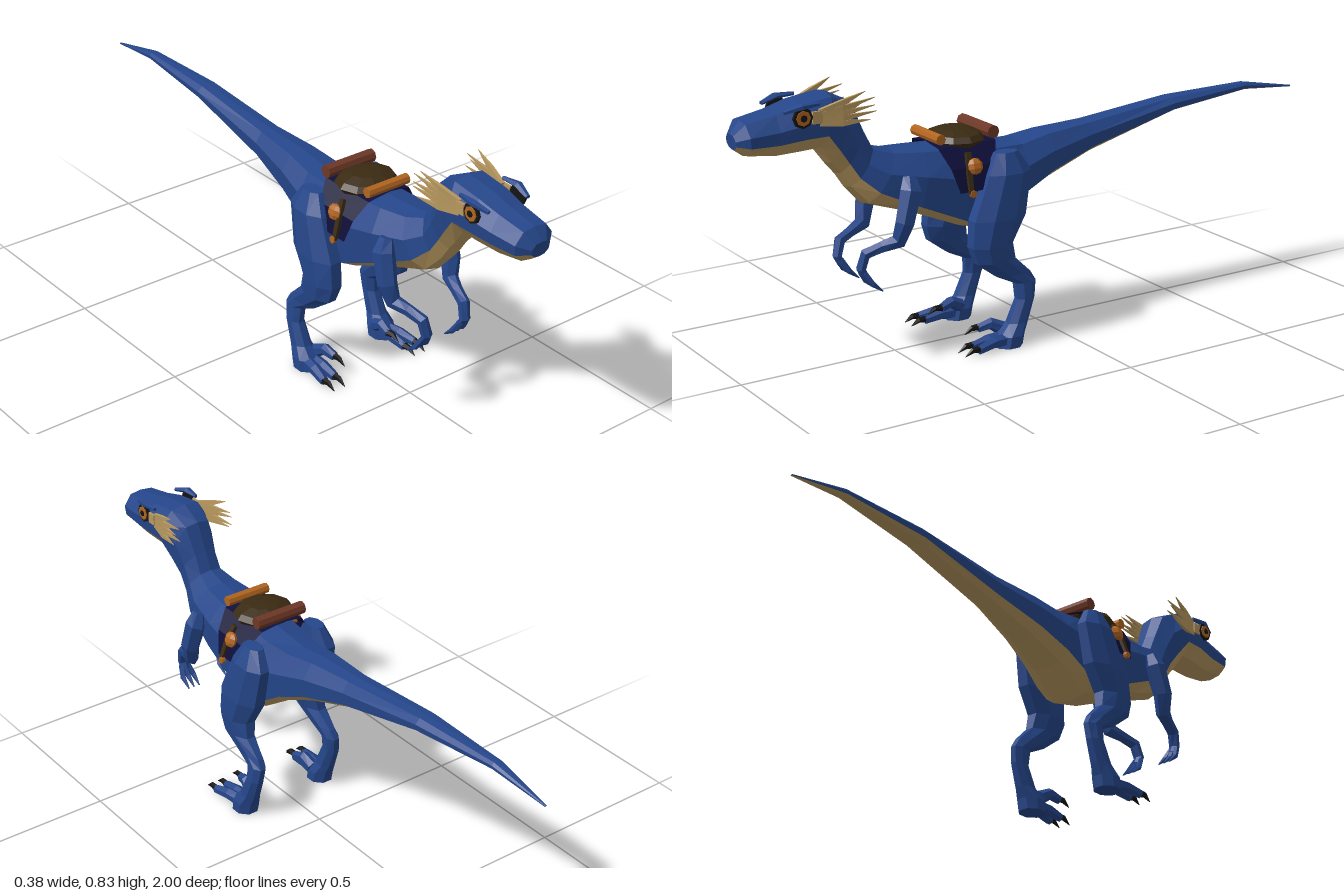
import * as THREE from 'three';

const V = (x, y, z) => new THREE.Vector3(x, y, z);

// Skin between rings of points; rings run clockwise seen from the first ring.
function loft(rings, closed = true, caps = closed) {
  const pos = [];
  const tri = (...p) => p.forEach(q => pos.push(q.x, q.y, q.z));
  const n = rings[0].length, m = closed ? n : n - 1;
  for (let i = 0; i < rings.length - 1; i++) {
    for (let j = 0; j < m; j++) {
      const k = (j + 1) % n, A = rings[i], B = rings[i + 1];
      tri(A[j], A[k], B[j]);
      tri(A[k], B[k], B[j]);
    }
  }
  if (caps) {
    [rings[0], rings[rings.length - 1]].forEach((r, e) => {
      const c = r.reduce((s, p) => s.add(p), V(0, 0, 0)).divideScalar(n);
      for (let j = 0; j < n; j++) {
        const k = (j + 1) % n;
        if (e) tri(r[j], r[k], c); else tri(r[k], r[j], c);
      }
    });
  }
  const g = new THREE.BufferGeometry();
  g.setAttribute('position', new THREE.Float32BufferAttribute(pos, 3));
  g.computeVertexNormals();
  return g;
}

// Limb from stations [x, y, z, radius across, radius along]; dir fixes the ring plane.
function limb(path, sides = 6, dir = null) {
  const P = path.map(p => V(p[0], p[1], p[2]));
  return loft(path.map((p, i) => {
    const d = dir ? dir.clone() : P[Math.min(i + 1, P.length - 1)].clone().sub(P[Math.max(i - 1, 0)]).normalize();
    const u = V(1, 0, 0).addScaledVector(d, -d.x).normalize();
    const v = d.clone().cross(u);
    return Array.from({ length: sides }, (_, j) => {
      const a = (j + 0.5) / sides * Math.PI * 2;
      return P[i].clone().addScaledVector(u, Math.cos(a) * p[3]).addScaledVector(v, Math.sin(a) * p[4]);
    });
  }));
}

// Mirrored copy across x with corner order restored.
function mirror(geo) {
  const g = geo.index ? geo.toNonIndexed() : geo.clone();
  g.scale(-1, 1, 1);
  const p = g.attributes.position, a = V(0, 0, 0), b = V(0, 0, 0);
  for (let i = 0; i < p.count; i += 3) {
    a.fromBufferAttribute(p, i + 1);
    b.fromBufferAttribute(p, i + 2);
    p.setXYZ(i + 1, b.x, b.y, b.z);
    p.setXYZ(i + 2, a.x, a.y, a.z);
  }
  g.computeVertexNormals();
  return g;
}

export function createModel() {
  const root = new THREE.Group();
  root.name = 'saddledRaptor';
  const mat = (name, color, extra = {}) => {
    const m = new THREE.MeshStandardMaterial({ color, flatShading: true, ...extra });
    m.name = name;
    return m;
  };
  const blue = mat('blueHide', 0x25468a);
  const tan = mat('tanBelly', 0xb8985f);
  const black = mat('blackClaw', 0x141414);
  const navy = mat('navyCloth', 0x0e0e3a, { side: THREE.DoubleSide });
  const seatBrown = mat('darkLeather', 0x3a2a12);
  const orange = mat('orangeLeather', 0xb2651f);
  const red = mat('redBrownRoll', 0x6e3826);
  const add = (name, geo, m) => {
    const mesh = new THREE.Mesh(geo, m);
    mesh.name = name;
    root.add(mesh);
  };
  const pair = (name, geo, m) => {
    add('left' + name, geo, m);
    add('right' + name, mirror(geo), m);
  };

  // Body stations, snout to tail: top z, y, bottom z, y, half width, belly line
  const body = [
    [1.0, .735, .995, .69, .032, .7], [.972, .77, .965, .668, .067, .68], [.88, .787, .885, .655, .074, .66],
    [.81, .806, .80, .657, .084, .66], [.71, .82, .75, .66, .084, .7], [.64, .785, .715, .61, .07, .74],
    [.602, .70, .685, .575, .06, .72], [.573, .642, .655, .53, .062, .7], [.51, .625, .605, .475, .085, .72],
    [.42, .62, .46, .428, .105, .84], [.30, .615, .31, .365, .113, .88], [.17, .60, .20, .335, .108, .86],
    [.08, .592, .09, .41, .092, .82], [-.02, .605, -.02, .46, .075, .8], [-.18, .612, -.18, .515, .052, .8],
    [-.5, .643, -.5, .597, .04, .8], [-.8, .648, -.8, .624, .019, .8], [-1, .611, -1, .606, .003, .8],
  ];
  const rings = body.map(([tz, ty, bz, by, w, b]) => {
    const at = (x, t) => V(x * w, ty + (by - ty) * t, tz + (bz - tz) * t);
    const side = s => [at(.6 * s, .05), at(s, .38), at(.95 * s, b), at(.55 * s, b + (1 - b) * .78)];
    return [at(0, 0), ...side(1), at(0, 1), ...side(-1).reverse()];
  });
  const pick = ids => rings.map(r => ids.map(i => r[i]));
  add('backAndHead', loft(pick([7, 8, 9, 0, 1, 2, 3]), false), blue);
  add('bellyAndJaw', loft(pick([3, 4, 5, 6, 7]), false), tan);
  add('snoutTip', loft([rings[0], rings[0].map(p => V(p.x * .1, .712, .997))].reverse().map(r => r.slice())), blue);

  // Legs: thigh, shin, hock and foot in one skin
  pair('Leg', limb([
    [.115, .59, .18, .025, .04], [.125, .53, .18, .042, .078], [.13, .40, .22, .05, .095],
    [.133, .32, .247, .046, .074], [.138, .27, .235, .036, .07], [.14, .22, .175, .026, .062],
    [.143, .19, .135, .024, .038], [.148, .14, .137, .025, .032], [.148, .07, .165, .03, .036],
    [.147, .035, .188, .042, .045], [.147, 0, .195, .042, .045],
  ], 8, V(0, -1, 0)), blue);
  // Toes: two on the ground and a raised inner one, each with a claw
  [[.155, .022, .20, .177, .016, .315, 0], [.135, .022, .20, .137, .016, .315, 0], [.12, .045, .20, .106, .055, .275, .01]]
    .forEach(([x0, y0, z0, x1, y1, z1, lift], i) => {
      const mid = [(x0 + x1) / 2, (y0 + y1) / 2 + .006 + lift, (z0 + z1) / 2, .019, .018];
      pair('Toe' + i, limb([[x0, y0, z0, .022, .022], mid, [x1, y1, z1, .014, .014]], 6), blue);
      pair('Claw' + i, limb([[x1, y1 + .002, z1 - .012, .012, .013], [x1, y1 + .004, z1 + .022, .008, .009],
        [x1, y1 - .011, z1 + .048, .001, .001]], 5), black);
    });

  // Arms and hands
  pair('Arm', limb([
    [.10, .56, .495, .02, .022], [.112, .52, .498, .032, .036], [.12, .43, .525, .028, .032],
    [.108, .375, .54, .022, .026], [.092, .362, .585, .018, .018], [.078, .345, .632, .018, .018],
    [.072, .30, .645, .018, .014], [.072, .275, .632, .018, .012],
  ], 6), blue);
  [.052, .072, .092].forEach((x, i) => pair('Finger' + i, limb([
    [.072 + (x - .072) * .5, .29, .64, .01, .01], [x, .255, .618, .009, .009], [x, .228, .585, .002, .002],
  ], 5), blue));

  // Crest of swept-back quills behind each eye
  [[.745, .62], [.765, .595], [.785, .605], [.805, .60], [.828, .635], [.79, .65]].forEach(([y, z], i) => {
    pair('Quill' + i, limb([
      [.078, .762 + (y - .78) * .4, .765, .008, .010], [.092, .768 + (y - .78) * .7, .70, .008, .012],
      [.105 - (i % 2) * .008, y, z, .001, .001],
    ], 4), tan);
  });

  // Eyes: dark socket, orange iris, black pupil, heavy brow
  const disc = (r, x, h) => new THREE.CylinderGeometry(r, r, h, 8).rotateZ(-Math.PI / 2).translate(x, .772, .82);
  pair('EyeSocket', disc(.03, .084, .009), black);
  pair('EyeIris', disc(.022, .087, .009), orange);
  pair('EyePupil', disc(.01, .090, .008), black);
  pair('Brow', limb([[.07, .79, .87, .008, .006], [.082, .803, .82, .014, .009], [.078, .803, .765, .006, .006]], 5), blue);
  pair('CheekMark', new THREE.BoxGeometry(.008, .035, .03).translate(.084, .768, .775), tan);

  // Saddle cloth draped over the back
  const drape = [[0, .630, .39, .185], [.075, .617, .385, .19], [.116, .56, .365, .215], [.132, .49, .345, .27]];
  const row = k => [...drape.slice(1).reverse().map(d => V(-d[0], d[1], d[k])), ...drape.map(d => V(d[0], d[1], d[k]))];
  add('saddleCloth', loft([row(2), row(3)], false), navy);

  // Seat with a roll at each end
  add('saddleSeat', new THREE.SphereGeometry(1, 10, 6).scale(.098, .033, .088).translate(0, .624, .285), seatBrown);
  const roll = (r, len, y, z) => new THREE.CylinderGeometry(r, r, len, 8).rotateZ(Math.PI / 2).translate(0, y, z);
  add('frontRoll', roll(.016, .15, .642, .375), orange);
  add('rearRoll', roll(.02, .174, .645, .204), red);

  // Side straps, pouches and buckles
  pair('Strap', limb([[.10, .60, .30, .008, .012], [.122, .55, .31, .008, .012], [.143, .487, .315, .006, .01]], 4), seatBrown);
  pair('Pouch', new THREE.SphereGeometry(1, 7, 5).scale(.016, .025, .026).rotateZ(.3).translate(.122, .562, .29), orange);
  pair('Buckle', new THREE.CylinderGeometry(.011, .011, .012, 8).rotateZ(Math.PI / 2).translate(.143, .487, .31), orange);
  return root;
}
